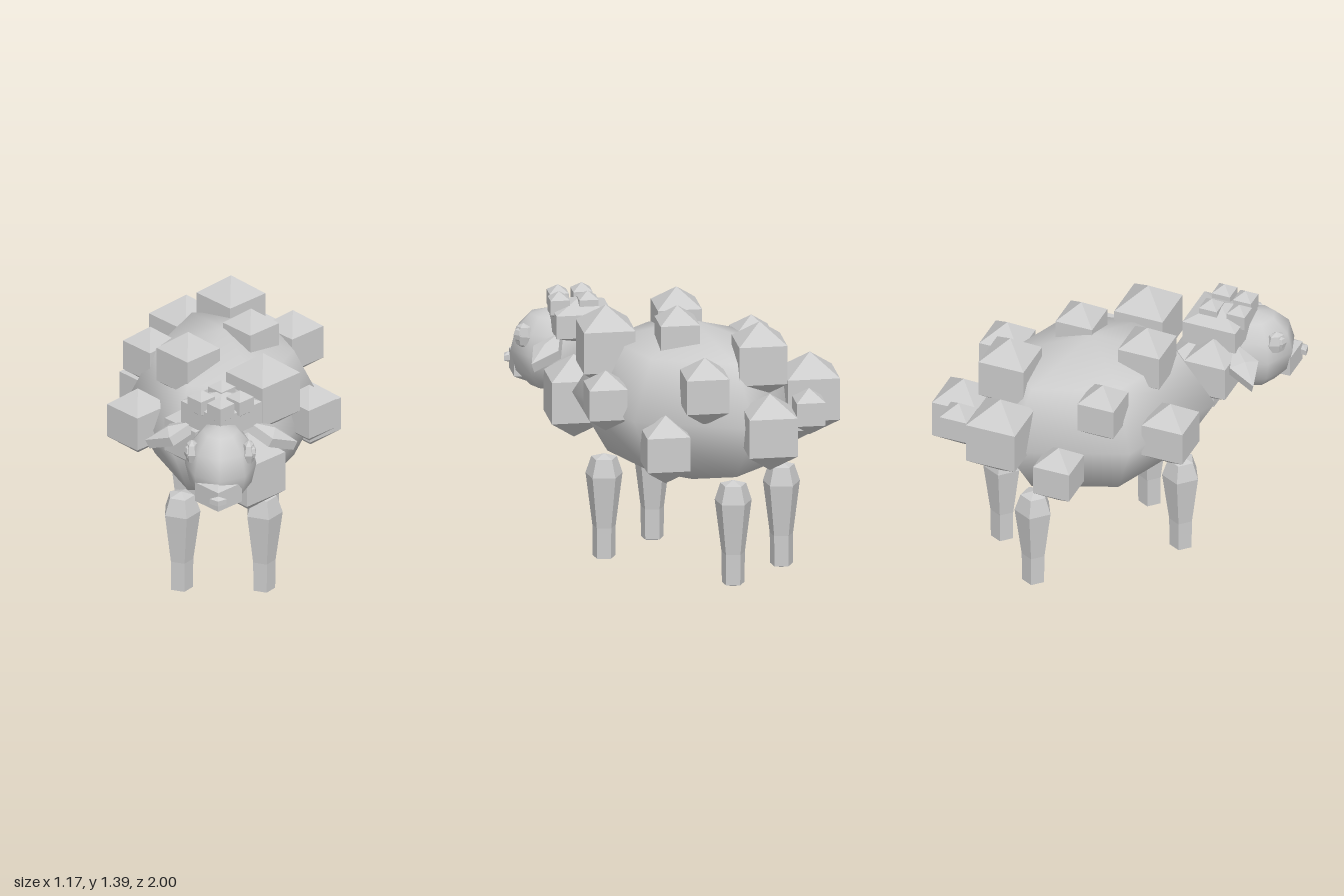
import * as THREE from 'three';

export function createModel() {
  const model = new THREE.Group();
  model.name = 'sheep';
  const grey = new THREE.MeshStandardMaterial({ color: 0xcccccc });
  grey.name = 'grey';

  // Gives every face its own normal
  const faceted = (geo) => {
    const g = geo.toNonIndexed();
    g.computeVertexNormals();
    return g;
  };
  const add = (name, geo, x, y, z, parent = model) => {
    const mesh = new THREE.Mesh(geo, grey);
    mesh.name = name;
    mesh.position.set(x, y, z);
    parent.add(mesh);
    return mesh;
  };
  // Square block with a pyramid above and below
  const block = (rx, ry, rz) => faceted(new THREE.SphereGeometry(1, 4, 3).scale(rx, ry, rz));

  // Body: smooth, six-sided barrel
  add('body', new THREE.SphereGeometry(1, 6, 4).scale(0.495, 0.418, 0.655), 0, 0.863, -0.175);

  // Wool tufts: x, y, z, radius
  const wool = new THREE.Group();
  wool.name = 'wool';
  model.add(wool);
  [
    [0, 0.93, -0.9, 0.12],
    [-0.205, 0.95, -0.757, 0.217],
    [0.19, 0.847, -0.795, 0.2],
    [0.023, 1.155, -0.61, 0.2],
    [-0.397, 0.77, -0.52, 0.16],
    [0.337, 1.043, -0.497, 0.177],
    [0.43, 0.73, -0.32, 0.178],
    [-0.375, 1.075, -0.27, 0.16],
    [0.133, 1.228, -0.178, 0.163],
    [-0.43, 0.882, 0.075, 0.181],
    [-0.178, 1.19, 0.052, 0.184],
    [0.432, 0.923, 0.05, 0.158],
    [0.203, 1.127, 0.215, 0.215],
    [-0.13, 0.99, 0.43, 0.182],
    [0.132, 0.805, 0.465, 0.217],
  ].forEach(([x, y, z, r]) => add('woolTuft', block(r, r, r), x, y, z, wool));

  // Legs: five-sided, wide at the thigh
  const legProfile = [[0, 0.003], [0.06, 0.02], [0.062, 0.18], [0.098, 0.45], [0.068, 0.54], [0, 0.56]]
    .map(([r, y]) => new THREE.Vector2(r, y));
  const legGeo = faceted(new THREE.LatheGeometry(legProfile, 5, Math.PI / 2));
  for (const z of [0.225, -0.577]) {
    for (const x of [-0.21, 0.204]) add(z > 0 ? 'frontLeg' : 'backLeg', legGeo, x, 0, z);
  }

  // Head, muzzle and nose
  const head = new THREE.Group();
  head.name = 'head';
  model.add(head);
  add('skull', new THREE.SphereGeometry(1, 8, 6).scale(0.18, 0.215, 0.215), 0, 0.975, 0.71, head);
  add('muzzle', block(0.136, 0.105, 0.136), -0.007, 0.882, 0.85, head);
  add('nose', block(0.05, 0.028, 0.034), -0.007, 0.888, 0.968, head);

  // Crown and forelock
  add('crown', block(0.235, 0.12, 0.235), 0, 1.165, 0.52, head);
  for (const [x, z] of [[-0.1, 0.585], [0, 0.66], [0.095, 0.585], [0, 0.475]]) {
    add('forelock', block(0.08, 0.075, 0.08), x, 1.247, z, head);
  }

  // Ears and eyes, mirrored
  for (const side of [-1, 1]) {
    const ear = add('ear', block(0.155, 0.052, 0.09), side * 0.25, 1.045, 0.545, head);
    ear.rotation.z = -side * 0.42;
    add('eye', faceted(new THREE.SphereGeometry(1, 6, 4).scale(0.036, 0.066, 0.056)),
      side * 0.143, 1.068, 0.77, head);
    add('pupil', faceted(new THREE.SphereGeometry(1, 5, 4).scale(0.022, 0.036, 0.03)),
      side * 0.162, 1.075, 0.785, head);
  }
  return model;
}
